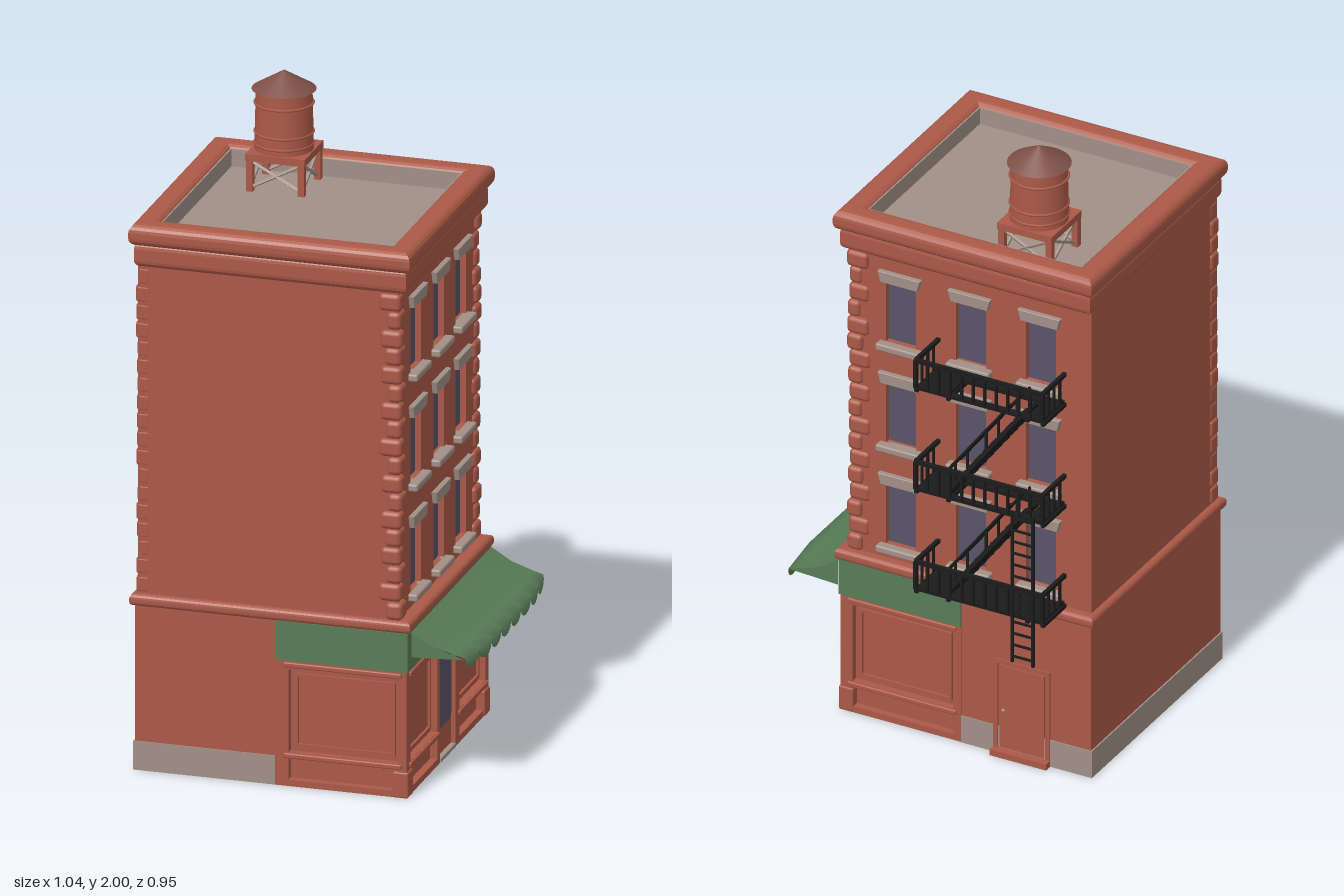
import * as THREE from 'three';
import { RoundedBoxGeometry } from 'three/addons/geometries/RoundedBoxGeometry.js';

const mat = (name, color, extra = {}) => {
  const m = new THREE.MeshStandardMaterial({ color, ...extra });
  m.name = name;
  return m;
};

export function createModel() {
  const brick = mat('brick', 0xab5947);
  const stone = mat('stone', 0xa19087);
  const glass = mat('glass', 0x59546a);
  const green = mat('awningGreen', 0x587c56, { side: THREE.DoubleSide });
  const iron = mat('iron', 0x1b1b1c);
  const tankRoof = mat('tankRoofBrown', 0x7e5047);

  const model = new THREE.Group();
  model.name = 'cornerBuilding';

  const group = (name, parent = model) => {
    const g = new THREE.Group();
    g.name = name;
    parent.add(g);
    return g;
  };
  const add = (parent, name, geo, m, x = 0, y = 0, z = 0) => {
    const mesh = new THREE.Mesh(geo, m);
    mesh.name = name;
    mesh.position.set(x, y, z);
    parent.add(mesh);
    return mesh;
  };
  // Box from its limits, rounded when r > 0
  const box = (parent, name, m, x0, x1, y0, y1, z0, z1, r = 0) => {
    const s = [x1 - x0, y1 - y0, z1 - z0];
    const geo = r ? new RoundedBoxGeometry(...s, 2, r) : new THREE.BoxGeometry(...s);
    return add(parent, name, geo, m, (x0 + x1) / 2, (y0 + y1) / 2, (z0 + z1) / 2);
  };
  // Square bar between two points
  const bar = (parent, name, m, a, b, t) => {
    const p = new THREE.Vector3(...a), d = new THREE.Vector3(...b).sub(p);
    const mesh = add(parent, name, new THREE.BoxGeometry(t, t, d.length()), m);
    mesh.position.copy(p).addScaledVector(d, 0.5);
    mesh.quaternion.setFromUnitVectors(new THREE.Vector3(0, 0, 1), d.normalize());
    return mesh;
  };
  const poly = (pts) => new THREE.Shape(pts.map((p) => new THREE.Vector2(...p)));
  const rect = (x0, x1, y0, y1) => poly([[x0, y0], [x1, y0], [x1, y1], [x0, y1]]);
  // Flat panel with rectangular openings, facing +z, front at z = 0
  const panel = (parent, name, m, outer, holes, depth, z = -depth) => {
    const shape = rect(...outer);
    shape.holes = holes.map((h) => rect(...h));
    return add(parent, name, new THREE.ExtrudeGeometry(shape, { depth, bevelEnabled: false }), m, 0, 0, z);
  };
  // Floor plan raised from y0 to y1, edges rounded by r
  const raise = (name, m, shape, y0, y1, r = 0) => {
    const geo = new THREE.ExtrudeGeometry(shape, {
      depth: y1 - y0 - 2 * r, bevelEnabled: r > 0, bevelSize: r, bevelThickness: r, bevelOffset: -r, bevelSegments: 4,
    });
    geo.rotateX(-Math.PI / 2);
    return add(model, name, geo, m, 0, y0 + r, 0);
  };
  // Horizontal hollow frame
  const ring = (name, m, x0, x1, z0, z1, w, y0, y1, r) => {
    const shape = rect(x0, x1, -z1, -z0);
    shape.holes = [rect(x0 + w, x1 - w, -z1 + w, -z0 - w)];
    return raise(name, m, shape, y0, y1, r);
  };
  // Three-sided wall, open towards +x
  const threeWalls = (name, m, x0, x1, z0, z1, w, y0, y1) => raise(name, m, poly([
    [x0, -z1], [x1, -z1], [x1, -z1 + w], [x0 + w, -z1 + w], [x0 + w, -z0 - w], [x1, -z0 - w], [x1, -z0], [x0, -z0],
  ]), y0, y1);
  // Local frame of a wall: x along it, z outward
  const face = (name, x, z, turn) => {
    const g = group(name);
    g.position.set(x, 0, z);
    g.rotation.y = turn;
    return g;
  };

  // Hollow ground floor, open underneath
  ring('groundWalls', brick, -0.5, 0.312, -0.317, 0.437, 0.008, 0.002, 0.53, 0);
  threeWalls('plainGroundWall', brick, -0.505, -0.07, -0.338, 0.456, 0.01, 0.001, 0.53);
  threeWalls('stoneBase', stone, -0.51, -0.071, -0.342, 0.46, 0.035, 0, 0.09);

  const storefront = (f, u0, u1) => {
    const g = group('storefront', f);
    const a = u0 + 0.04, b = u1 - 0.025;
    panel(g, 'storefrontFrame', brick, [u0, u1, 0, 0.41], [[a, b, 0.105, 0.365], [a, b, 0.02, 0.085]], 0.023);
    panel(g, 'displayBorder', brick, [a + 0.015, b - 0.015, 0.12, 0.35], [[a + 0.025, b - 0.025, 0.13, 0.34]], 0.008, -0.022);
    box(g, 'displaySill', brick, u0 + 0.025, u1 - 0.015, 0.088, 0.104, -0.01, 0.007, 0.004);
    box(g, 'displayHead', brick, u0 + 0.025, u1 - 0.015, 0.372, 0.388, -0.01, 0.007, 0.004);
  };
  const groundFront = face('groundFront', 0, 0.46, 0);
  storefront(groundFront, -0.07, 0.335);
  const groundRight = face('groundRight', 0.335, 0, Math.PI / 2);
  storefront(groundRight, -0.46, -0.135);
  storefront(groundRight, 0.02, 0.34);
  const groundBack = face('groundBack', 0, -0.34, Math.PI);
  storefront(groundBack, -0.335, 0.07);
  for (const z of [0.437, -0.317]) box(model, 'cornerPlinth', brick, 0.292, 0.34, 0, 0.08, z - 0.026, z + 0.026, 0.005);

  // Glazed shop door with a rounded pane, and the plain back door
  box(groundRight, 'shopDoor', brick, -0.135, 0.02, 0, 0.4, -0.024, -0.014);
  const pane = new THREE.Shape();
  const pr = 0.02;
  [[-0.01, 0.34, 0], [-0.09, 0.34, 1], [-0.09, 0.115, 2], [-0.01, 0.115, 3]].forEach(([x, y, q]) =>
    pane.absarc(x, y, pr, q * Math.PI / 2, (q + 1) * Math.PI / 2));
  add(groundRight, 'shopDoorGlass', new THREE.ExtrudeGeometry(pane, { depth: 0.005, bevelEnabled: false }), glass, 0, 0, -0.015);
  box(groundRight, 'shopDoorStep', stone, -0.13, 0.015, 0, 0.012, -0.015, 0.002);
  panel(groundBack, 'backDoorFrame', brick, [0.18, 0.37, 0, 0.32], [[0.195, 0.355, 0.02, 0.307]], 0.005, 0);
  box(groundBack, 'backDoor', brick, 0.2, 0.35, 0.022, 0.3, -0.002, 0.003);
  box(groundBack, 'backDoorStep', brick, 0.18, 0.37, 0, 0.02, 0, 0.028);
  add(groundBack, 'doorKnob', new THREE.SphereGeometry(0.006, 8, 6), stone, 0.215, 0.15, 0.006);

  // Green fascia wrapping the shop corner, and the sloping awning
  box(model, 'greenFascia', green, -0.07, 0.339, 0.393, 0.515, -0.345, 0.464);
  const profile = [[0, 0.512], [0.4, 0.472], [0.8, 0.45], [1, 0.44], [1.01, 0.4]];
  const cloth = new THREE.PlaneGeometry(1, 1, 96, 4);
  const pos = cloth.attributes.position;
  for (let i = 0; i < pos.count; i++) {
    const t = pos.getX(i) + 0.5;
    const row = Math.round((0.5 - pos.getY(i)) * 4);
    const [k, h] = profile[row];
    const reach = 0.165 + 0.02 * Math.min(1, 1.6 * Math.sin(Math.PI * t));
    const scallop = row === 4 ? 0.028 * (1 - Math.sqrt(Math.abs(Math.sin(Math.PI * 8 * t)))) : 0;
    pos.setXYZ(i, 0.335 + reach * k, h + scallop, THREE.MathUtils.lerp(0.438 - 0.025 * k, -0.356, t));
  }
  cloth.computeVertexNormals();
  const awning = group('awning');
  add(awning, 'awningCloth', cloth, green);
  for (const z of [0.425, -0.355]) {
    const side = new THREE.ShapeGeometry(poly([[0.335, 0.43], [0.5, 0.438], [0.468, 0.45], [0.401, 0.472], [0.335, 0.512]]));
    add(awning, 'awningSide', side, green, 0, 0, z);
  }

  // Upper walls, ledges and sunken roof
  ring('upperWalls', brick, -0.5, 0.281, -0.301, 0.445, 0.01, 0.53, 1.6, 0);
  ring('floorLedge', brick, -0.52, 0.347, -0.357, 0.467, 0.08, 0.513, 0.55, 0.014);
  ring('lowerCornice', brick, -0.508, 0.332, -0.348, 0.458, 0.06, 1.57, 1.65, 0.022);
  ring('topCornice', brick, -0.522, 0.347, -0.366, 0.47, 0.08, 1.638, 1.705, 0.025);
  ring('parapetLining', stone, -0.446, 0.271, -0.29, 0.394, 0.005, 1.6, 1.694, 0);
  box(model, 'roofDeck', stone, -0.455, 0.275, 1.59, 1.64, -0.296, 0.4);

  // Window walls
  const windowWall = (f, u0, u1, centers) => {
    const holes = [];
    for (const u of centers) for (let r = 0; r < 3; r++) {
      const y = 0.597 + r * 0.344;
      holes.push([u - 0.05, u + 0.05, y, y + 0.21]);
      box(f, 'windowGlass', glass, u - 0.053, u + 0.053, y, y + 0.212, -0.025, -0.018);
      box(f, 'windowSill', stone, u - 0.073, u + 0.073, y - 0.023, y, -0.015, 0.028, 0.006);
      const lintel = poly([[-0.06, 0], [0.06, 0], [0.069, 0.033], [-0.069, 0.033]]);
      const geo = new THREE.ExtrudeGeometry(lintel, { depth: 0.02, bevelSize: 0.002, bevelThickness: 0.004, bevelSegments: 2 });
      add(f, 'windowLintel', geo, stone, u, y + 0.207, -0.008);
    }
    panel(f, 'windowWall', brick, [u0, u1, 0.53, 1.6], holes, 0.025);
  };
  windowWall(face('rightWall', 0.305, 0, Math.PI / 2), -0.445, 0.325, [-0.275, -0.05, 0.165]);
  windowWall(face('backWall', 0, -0.325, Math.PI), -0.281, 0.5, [-0.14, 0.095, 0.33]);

  // Rough corner stones of uneven length
  let seed = 7;
  const rand = () => (seed = (seed * 16807) % 2147483647) / 2147483647;
  const courses = 18, pitch = 1.02 / courses;
  for (let i = 0; i < courses; i++) {
    const y0 = 0.55 + i * pitch, y1 = y0 + pitch - 0.002;
    for (const s of [1, -1]) {
      const o = rand() * 0.007;
      const lx = (i % 2 ? 0.062 : 0.042) + rand() * 0.01, lz = (i % 2 ? 0.042 : 0.06) + rand() * 0.01;
      const z = s > 0 ? 0.46 - o : -0.34 + o;
      box(model, 'cornerStone', brick, 0.319 - o - lx, 0.319 - o, y0, y1, Math.min(z, z - s * lz), Math.max(z, z - s * lz), 0.014);
    }
    box(model, 'leftCornerStone', brick, -0.508 + rand() * 0.006, -0.46, y0, y1, 0.4, 0.446, 0.01);
  }

  // Water tank on its stand
  const tank = group('waterTank');
  tank.position.set(-0.245, 0, -0.18);
  for (const [sx, sz] of [[1, 1], [1, -1], [-1, 1], [-1, -1]])
    box(tank, 'standLeg', brick, sx * 0.08 - 0.01, sx * 0.08 + 0.01, 1.63, 1.74, sz * 0.08 - 0.01, sz * 0.08 + 0.01);
  for (const s of [-0.08, 0.08]) for (const d of [-1, 1]) {
    bar(tank, 'standBrace', stone, [-0.08 * d, 1.65, s], [0.08 * d, 1.735, s], 0.008);
    bar(tank, 'standBrace', stone, [s, 1.65, -0.08 * d], [s, 1.735, 0.08 * d], 0.008);
  }
  box(tank, 'standPlatform', brick, -0.092, 0.092, 1.735, 1.757, -0.092, 0.092);
  add(tank, 'tankBody', new THREE.CylinderGeometry(0.084, 0.088, 0.19, 32), brick, 0, 1.85, 0);
  for (const y of [1.775, 1.81, 1.9]) {
    const band = add(tank, 'tankBand', new THREE.TorusGeometry(0.087, 0.004, 6, 32), brick, 0, y, 0);
    band.rotation.x = Math.PI / 2;
  }
  add(tank, 'tankRoof', new THREE.ConeGeometry(0.096, 0.058, 32), tankRoof, 0, 1.971, 0);

  // Fire escape
  const escape = group('fireEscape');
  const X0 = -0.412, X1 = 0.012, Z0 = -0.328, Z1 = -0.468;
  [0.565, 0.905, 1.25].forEach((y, level) => {
    const g = group('landing', escape);
    // Slatted floor with a stair opening on the upper landings
    for (let i = 0; i < 7; i++) {
      const z = Z0 - 0.01 - i * 0.02;
      const open = level > 0 && i > 1 && i < 6;
      const runs = open ? [[X0, -0.36], [-0.095, X1]] : [[X0, X1]];
      for (const [a, b] of runs) box(g, 'floorSlat', iron, a, b, y - 0.008, y + 0.004, z - 0.009, z + 0.009);
    }
    for (const x of [X0, -0.36, -0.095, X1]) bar(g, 'floorBeam', iron, [x, y - 0.01, Z0], [x, y - 0.01, Z1], 0.012);
    for (const x of [X0 + 0.04, X1 - 0.04]) bar(g, 'bracket', iron, [x, y - 0.045, Z0], [x, y - 0.005, Z0 - 0.045], 0.01);
    // Railing on three sides
    bar(g, 'rail', iron, [X0, y + 0.092, Z1], [X1, y + 0.092, Z1], 0.012);
    for (const x of [X0, X1]) bar(g, 'rail', iron, [x, y + 0.092, Z0], [x, y + 0.092, Z1], 0.012);
    for (let i = 0; i <= 11; i++) {
      const x = THREE.MathUtils.lerp(X0, X1, i / 11);
      bar(g, 'baluster', iron, [x, y, Z1], [x, y + 0.092, Z1], i % 11 ? 0.007 : 0.012);
    }
    for (const x of [X0, X1]) for (const z of [-0.36, -0.395, -0.43])
      bar(g, 'baluster', iron, [x, y, z], [x, y + 0.092, z], 0.007);
    // Stair up to the next landing
    if (level < 2) {
      for (const z of [-0.375, -0.45]) {
        bar(g, 'stringer', iron, [-0.085, y, z], [-0.345, y + 0.345, z], 0.014);
        bar(g, 'handrail', iron, [-0.085, y + 0.08, z], [-0.3, y + 0.365, z], 0.007);
        for (const k of [0.1, 0.5, 0.9]) {
          const x = -0.085 - 0.26 * k, h = y + 0.345 * k;
          bar(g, 'handrailPost', iron, [x, h, z], [x, h + 0.08, z], 0.007);
        }
      }
      for (const z of [-0.4, -0.425]) bar(g, 'middleStringer', iron, [-0.085, y, z], [-0.345, y + 0.345, z], 0.007);
      for (let i = 1; i < 10; i++) {
        const x = -0.085 - 0.026 * i, h = y + 0.0345 * i;
        box(g, 'tread', iron, x - 0.013, x + 0.013, h - 0.005, h + 0.005, -0.45, -0.375);
      }
    }
  });
  // Drop ladder
  for (const x of [-0.385, -0.315]) bar(escape, 'ladderRail', iron, [x, 0.41, -0.474], [x, 0.92, -0.474], 0.008);
  for (let i = 0; i < 13; i++) {
    const y = 0.43 + i * 0.039;
    bar(escape, 'ladderRung', iron, [-0.385, y, -0.474], [-0.315, y, -0.474], 0.006);
  }
  return model;
}
